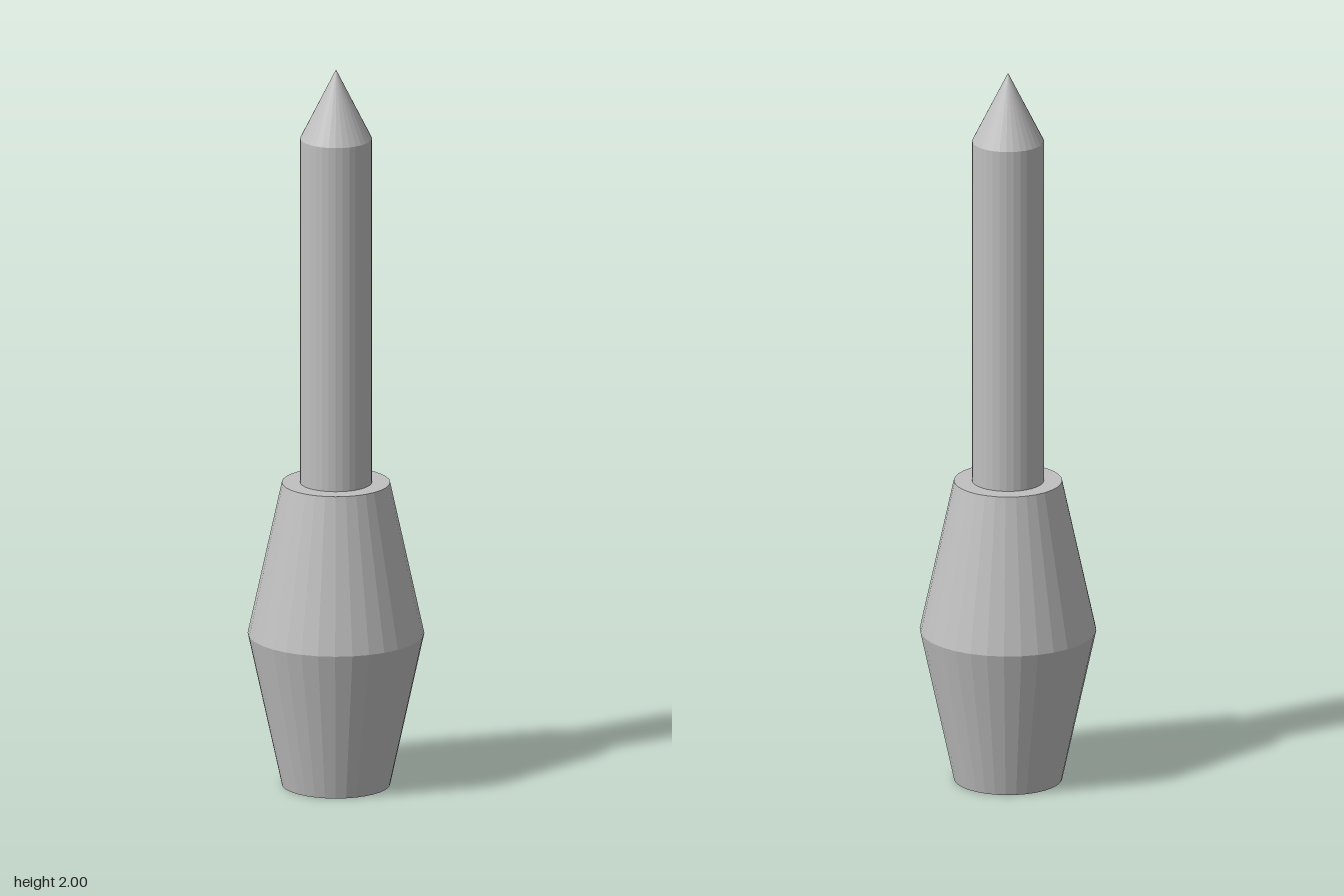
import * as THREE from 'three';

const SIDES = 32;

export function createModel() {
  const group = new THREE.Group();
  const metal = new THREE.MeshStandardMaterial({ color: 0xc0c0c0, flatShading: true });
  metal.name = 'grey metal';

  // Straight or tapered round section between two heights; cap: 'top', 'bottom' or none
  function section(name, y0, r0, y1, r1, cap) {
    const part = new THREE.Group();
    part.name = name;
    const wall = new THREE.Mesh(
      new THREE.CylinderGeometry(r1, r0, y1 - y0, SIDES, 1, true), metal);
    wall.name = name + 'Wall';
    wall.position.y = (y0 + y1) / 2;
    part.add(wall);
    if (cap) {
      const up = cap === 'top';
      const disc = new THREE.Mesh(new THREE.CircleGeometry(up ? r1 : r0, SIDES), metal);
      disc.name = name + 'Cap';
      disc.rotation.x = up ? -Math.PI / 2 : Math.PI / 2;
      disc.position.y = up ? y1 : y0;
      part.add(disc);
    }
    group.add(part);
  }

  // Double-tapered handle
  section('lowerHandle', 0, 0.146, 0.423, 0.238, 'bottom');
  section('upperHandle', 0.423, 0.238, 0.845, 0.146, 'top');
  // Shaft and pointed tip
  section('shaft', 0.845, 0.097, 1.807, 0.097);
  section('tip', 1.807, 0.097, 2, 0);

  return group;
}
